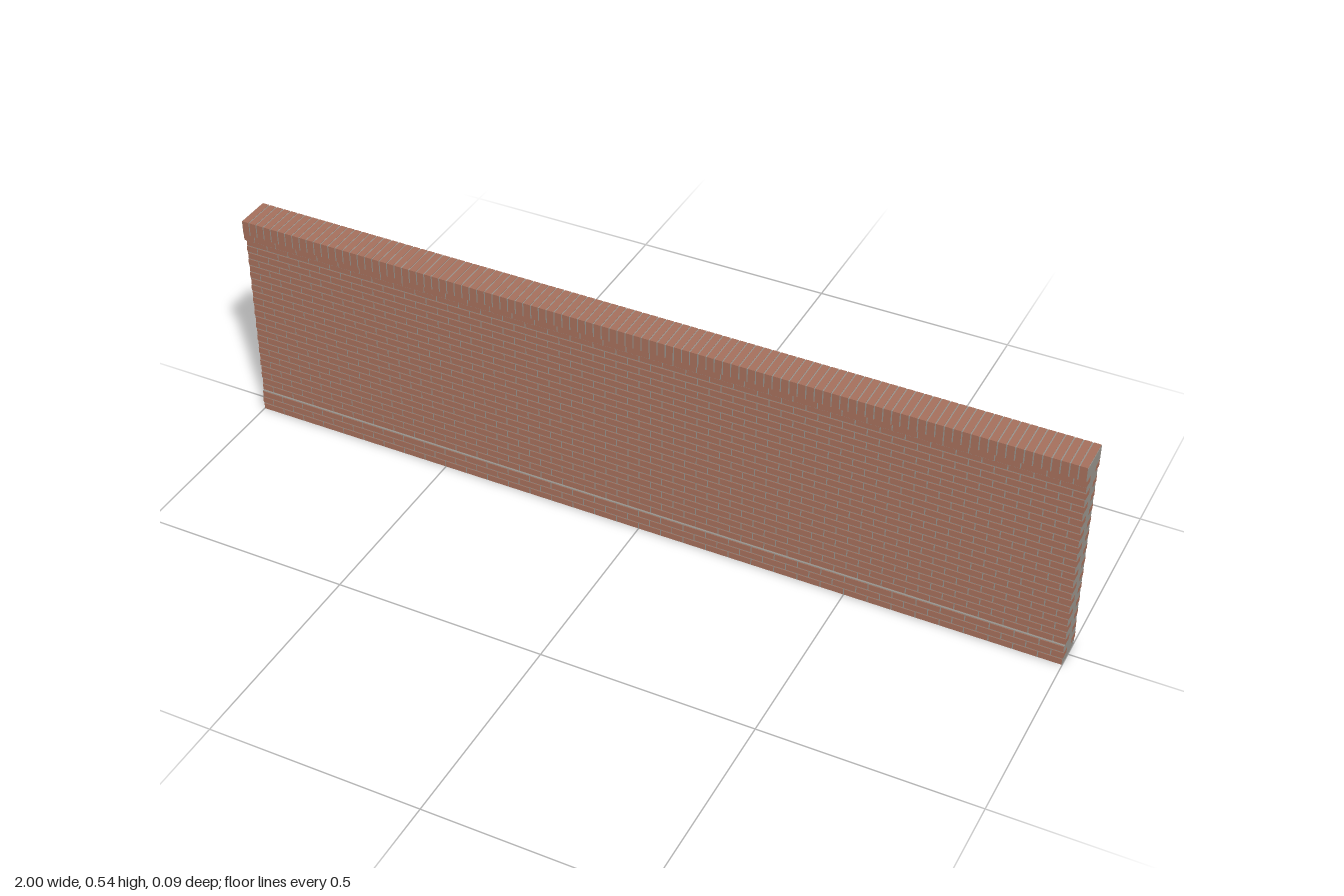
import * as THREE from 'three';
import { mergeGeometries } from 'three/addons/utils/BufferGeometryUtils.js';

const COURSES = 28;
const COURSE = 0.5 / COURSES;   // course height including its joint
const PITCH = 2 / 36;           // brick length including its joint
const JOINT = 0.003;
const DEPTH = 0.0235;           // brick bed depth
const TOP = 0.535;
const END = 0.9996;             // mortar ends sit just behind the end bricks

// Half thickness of the wall at a course: plinth, body, corbel
const halfThickness = (row) => (row < 3 ? 0.0385 : row === COURSES - 1 ? 0.04 : 0.034);

// Box given by its limits
function block(x0, x1, y0, y1, z0, z1) {
  return new THREE.BoxGeometry(x1 - x0, y1 - y0, z1 - z0)
    .translate((x0 + x1) / 2, (y0 + y1) / 2, (z0 + z1) / 2);
}

// One course of bricks on one side, odd courses shifted by half a brick
function courseBricks(row, side) {
  const bricks = [];
  const y0 = row * COURSE + JOINT / 2;
  const outer = side * halfThickness(row);
  const inner = side * (halfThickness(row) - DEPTH);
  const shifted = row % 2 === 1;
  for (let i = 0; i < (shifted ? 37 : 36); i++) {
    const start = -1 + (i - (shifted ? 0.5 : 0)) * PITCH;
    const x0 = Math.max(-1, start + JOINT / 2);
    const x1 = Math.min(1, start + PITCH - JOINT / 2);
    bricks.push(block(x0, x1, y0, y0 + COURSE - JOINT, Math.min(inner, outer), Math.max(inner, outer)));
  }
  return bricks;
}

export function createModel() {
  const brick = new THREE.MeshStandardMaterial({ color: 0xa5705c });
  brick.name = 'brick';
  const mortar = new THREE.MeshStandardMaterial({ color: 0x97928b });
  mortar.name = 'mortar';

  const wall = new THREE.Group();
  wall.name = 'brickWall';
  const add = (name, parts, material) => {
    const mesh = new THREE.Mesh(mergeGeometries(parts), material);
    mesh.name = name;
    wall.add(mesh);
  };

  // Brick courses on both faces
  const bands = { plinthBricks: [0, 3], bodyBricks: [3, COURSES - 1], corbelBricks: [COURSES - 1, COURSES] };
  for (const [name, [from, to]] of Object.entries(bands)) {
    const parts = [];
    for (let row = from; row < to; row++) {
      for (const side of [1, -1]) parts.push(...courseBricks(row, side));
    }
    add(name, parts, brick);
  }

  // Coping of bricks laid on edge across the wall
  const coping = [];
  const count = 105, step = 2 / count;
  for (let i = 0; i < count; i++) {
    const x = -1 + i * step;
    coping.push(block(x + JOINT / 2, x + step - JOINT / 2, 0.5, TOP, -0.0425, 0.0425));
  }
  add('copingBricks', coping, brick);

  // Mortar core as one stepped section, slightly behind the brick faces
  const inset = 0.0015;
  const a = 0.0385 - inset, b = 0.034 - inset, c = 0.04 - inset, d = 0.0418;
  const yPlinth = 3 * COURSE, yCorbel = (COURSES - 1) * COURSE;
  const half = [[a, 0], [a, yPlinth], [b, yPlinth], [b, yCorbel], [c, yCorbel],
    [c, 0.5005], [d, 0.5005], [d, TOP - 0.0007]];
  const outline = [...half, ...half.map(([z, y]) => [-z, y]).reverse()];
  const section = new THREE.Shape(outline.map(([z, y]) => new THREE.Vector2(z, y)));
  const core = new THREE.ExtrudeGeometry(section, { depth: 2 * END, bevelEnabled: false })
    .translate(0, 0, -END).rotateY(Math.PI / 2);
  add('mortarCore', [core], mortar);

  return wall;
}
